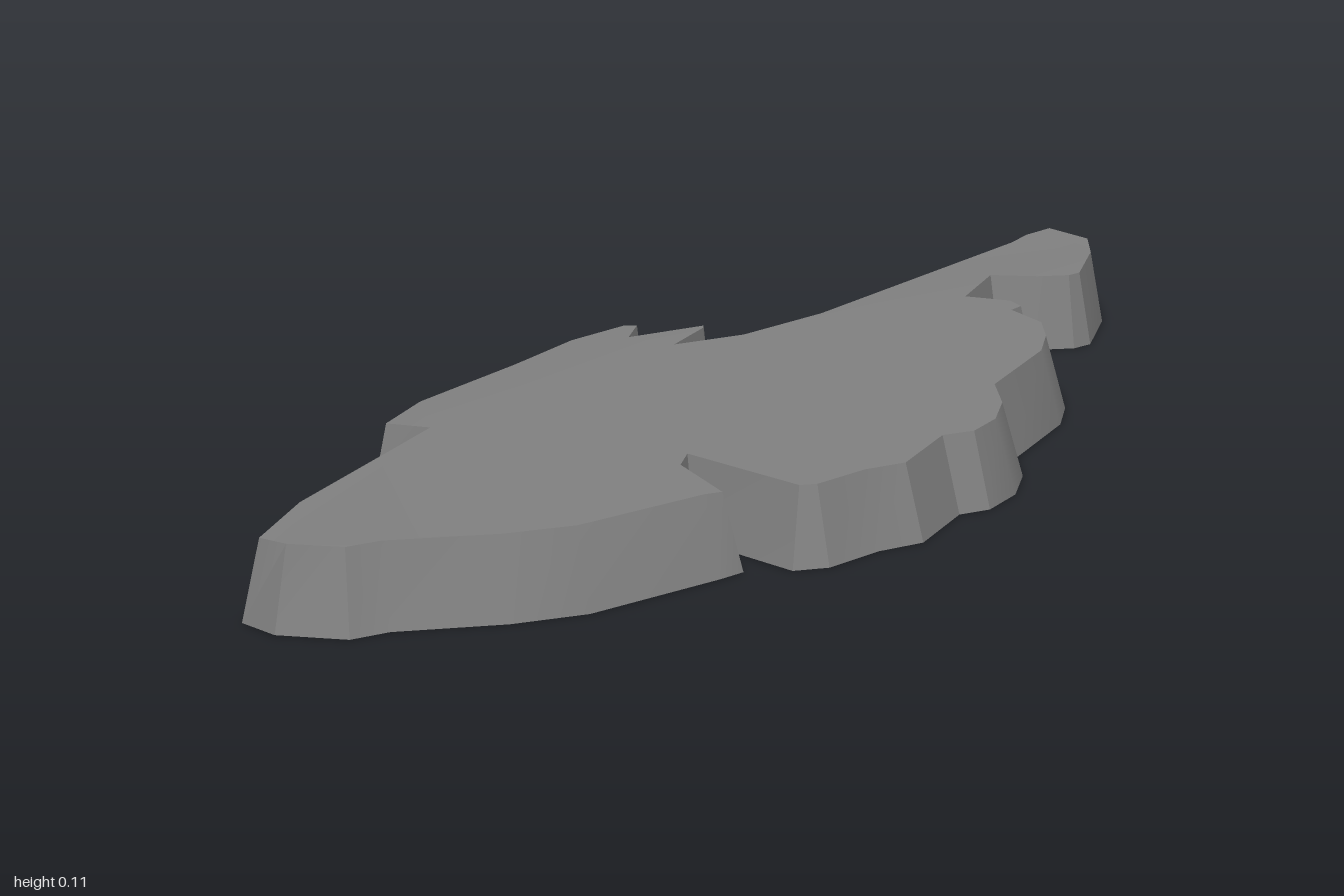
import * as THREE from 'three';
import { toCreasedNormals } from 'three/addons/utils/BufferGeometryUtils.js';

// Base outline [x, z], clockwise seen from above; a third number overrides the wall's inward lean
const LEAN = 0.03;
const outline = [
  // back tip and its hook
  [-0.15, -1, 0.015], [-0.04, -0.973, 0.02], [0.015, -0.893, 0.02], [0.07, -0.765, 0.02], [0.062, -0.73, 0.02],
  [0.02, -0.69, 0.02], [-0.032, -0.662, 0.02], [-0.005, -0.567, 0.02], [0.055, -0.587, 0.025], [0.1, -0.552, 0.02],
  [0.1, -0.53, 0.02], [0.17, -0.509],
  // right side
  [0.222, -0.44], [0.26, -0.364], [0.297, -0.18], [0.35, -0.115], [0.387, -0.036], [0.395, 0.043],
  [0.373, 0.086], [0.4, 0.218], [0.372, 0.283], [0.357, 0.378], [0.325, 0.417],
  // right notch
  [0.145, 0.386, 0.022], [0.15, 0.398, 0.015], [0.275, 0.458, 0.022],
  // front tip
  [0.267, 0.5], [0.212, 0.708], [0.153, 0.798], [0.048, 0.908], [0.025, 0.96], [-0.064, 1], [-0.129, 0.988, 0.022],
  // left side
  [-0.185, 0.828, 0.016], [-0.256, 0.472, 0.01], [-0.325, 0.496, 0.018], [-0.376, 0.367], [-0.386, 0.135], [-0.4, -0.022],
  // left spikes and the stem edge
  [-0.367, -0.138, 0.015], [-0.333, -0.15, 0.01], [-0.307, -0.095, 0.012], [-0.254, -0.203, 0.01],
  [-0.233, -0.18, 0.012], [-0.222, -0.095, 0.012], [-0.19, -0.18, 0.02], [-0.164, -0.34, 0.02],
  [-0.159, -0.868, 0.02], [-0.169, -0.923, 0.022],
];

// Move each corner inward along the mitre of its two edges
function insetOutline(points) {
  const normal = (a, b) => new THREE.Vector2(a[1] - b[1], b[0] - a[0]).normalize();
  return points.map((p, i) => {
    const n1 = normal(points.at(i - 1), p);
    const n2 = normal(p, points[(i + 1) % points.length]);
    const dir = n1.clone().add(n2).normalize();
    const reach = (p[2] ?? LEAN) / Math.max(dir.dot(n1), 0.6);
    return new THREE.Vector2(p[0] + dir.x * reach, p[1] + dir.y * reach);
  });
}

function geometryFrom(triangles, crease) {
  const geometry = new THREE.BufferGeometry();
  geometry.setFromPoints(triangles);
  return toCreasedNormals(geometry, crease);
}

export function createModel() {
  const group = new THREE.Group();
  group.name = 'leafSlab';
  const material = new THREE.MeshStandardMaterial({ color: 0x808080, side: THREE.DoubleSide });

  const rim = insetOutline(outline);
  const base = outline.map(([x, z]) => new THREE.Vector3(x, 0, z));
  // The upper rim sinks slightly towards the sides
  const top = rim.map((p) => new THREE.Vector3(p.x, 0.112 - 0.045 * p.x * p.x, p.y));

  // Leaning outer wall
  const wall = [];
  base.forEach((a, i) => {
    const j = (i + 1) % base.length;
    wall.push(base[j], a, top[i], base[j], top[i], top[j]);
  });
  const wallMesh = new THREE.Mesh(geometryFrom(wall, 0.45), material);
  wallMesh.name = 'outerWall';

  // Top plate; the underside stays open
  const plate = THREE.ShapeUtils.triangulateShape(rim, [])
    .flatMap(([a, b, c]) => [top[a], top[c], top[b]]);
  const plateMesh = new THREE.Mesh(geometryFrom(plate, 0.6), material);
  plateMesh.name = 'topPlate';

  group.add(wallMesh, plateMesh);
  return group;
}
